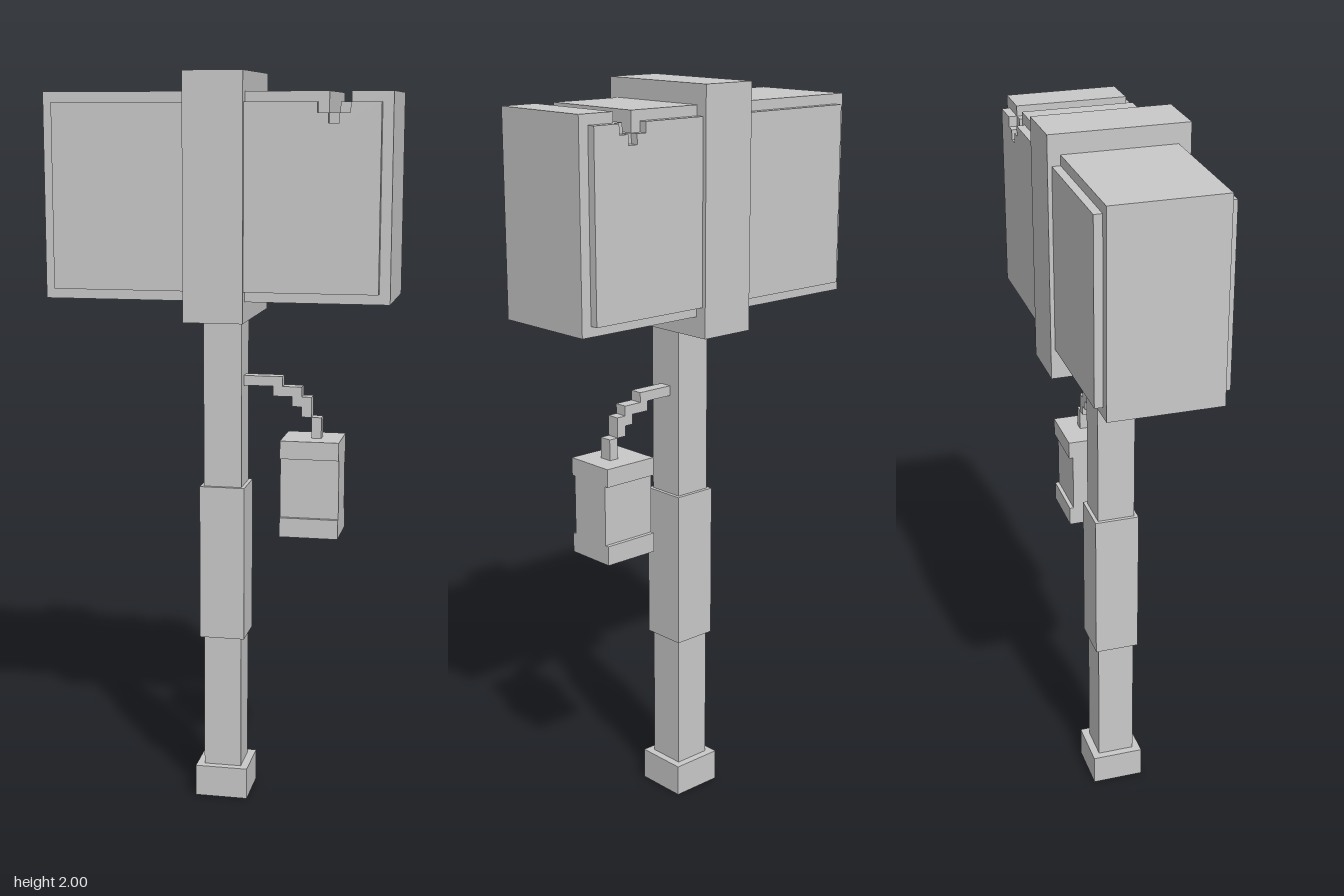
import * as THREE from 'three';

const grey = new THREE.MeshStandardMaterial({ color: 0xc9c9c9 });
grey.name = 'stone grey';

// Box given by its limits on x and y and its half depth on z
function block(name, x0, x1, y0, y1, halfZ) {
  const mesh = new THREE.Mesh(new THREE.BoxGeometry(x1 - x0, y1 - y0, halfZ * 2), grey);
  mesh.position.set((x0 + x1) / 2, (y0 + y1) / 2, 0);
  mesh.name = name;
  return mesh;
}

// Stepped chips in the top edges, listed from right to left
const headChip = [
  [0.351, 1.948], [0.351, 1.921], [0.323, 1.921], [0.323, 1.894], [0.295, 1.894], [0.295, 1.948],
];
const panelChip = [
  [0.351, 1.921], [0.351, 1.894], [0.323, 1.894], [0.323, 1.868],
  [0.295, 1.868], [0.295, 1.894], [0.267, 1.894], [0.267, 1.921],
];

// Rectangular slab with a chip cut through its top edge
function chippedSlab(name, halfX, y0, y1, z0, z1, chip) {
  const points = [[-halfX, y0], [halfX, y0], [halfX, y1], ...chip, [-halfX, y1]]
    .map(([x, y]) => new THREE.Vector2(x, y));
  const geometry = new THREE.ExtrudeGeometry(new THREE.Shape(points), { depth: z1 - z0, bevelEnabled: false });
  geometry.translate(0, 0, z0);
  const mesh = new THREE.Mesh(geometry, grey);
  mesh.name = name;
  return mesh;
}

export function createModel() {
  const hammer = new THREE.Group();
  hammer.name = 'hammer';

  // Shaft with pommel and grip
  hammer.add(
    block('pommel', -0.073, 0.073, 0, 0.088, 0.073),
    block('shaft', -0.052, 0.052, 0.088, 1.37, 0.052),
    block('grip', -0.062, 0.062, 0.465, 0.894, 0.062),
  );

  // Head with raised panels on front and back, and a band around the middle
  const head = new THREE.Group();
  head.name = 'head';
  head.add(
    chippedSlab('headBlock', 0.457, 1.412, 1.948, -0.15, 0.15, headChip),
    chippedSlab('frontPanel', 0.429, 1.439, 1.921, 0.15, 0.172, panelChip),
    chippedSlab('backPanel', 0.429, 1.439, 1.921, -0.172, -0.15, panelChip),
    block('headBand', -0.079, 0.079, 1.358, 2, 0.183),
  );
  hammer.add(head);

  // Stepped strap curving down to the hanging weight
  const strap = new THREE.Group();
  strap.name = 'strap';
  [
    [0.05, 0.158, 1.171, 1.198],
    [0.132, 0.211, 1.144, 1.171],
    [0.185, 0.238, 1.117, 1.144],
    [0.211, 0.238, 1.089, 1.117],
    [0.238, 0.265, 1.03, 1.089],
  ].forEach(([x0, x1, y0, y1], i) => strap.add(block('strapLink' + (i + 1), x0, x1, y0, y1, 0.018)));
  hammer.add(strap);

  // Hanging weight with caps proud of its front and back
  const weight = new THREE.Group();
  weight.name = 'hangingWeight';
  weight.add(
    block('weightBody', 0.161, 0.32, 0.82, 0.983, 0.062),
    block('weightTopCap', 0.161, 0.32, 0.983, 1.032, 0.073),
    block('weightBottomCap', 0.161, 0.32, 0.767, 0.82, 0.073),
  );
  hammer.add(weight);

  return hammer;
}
